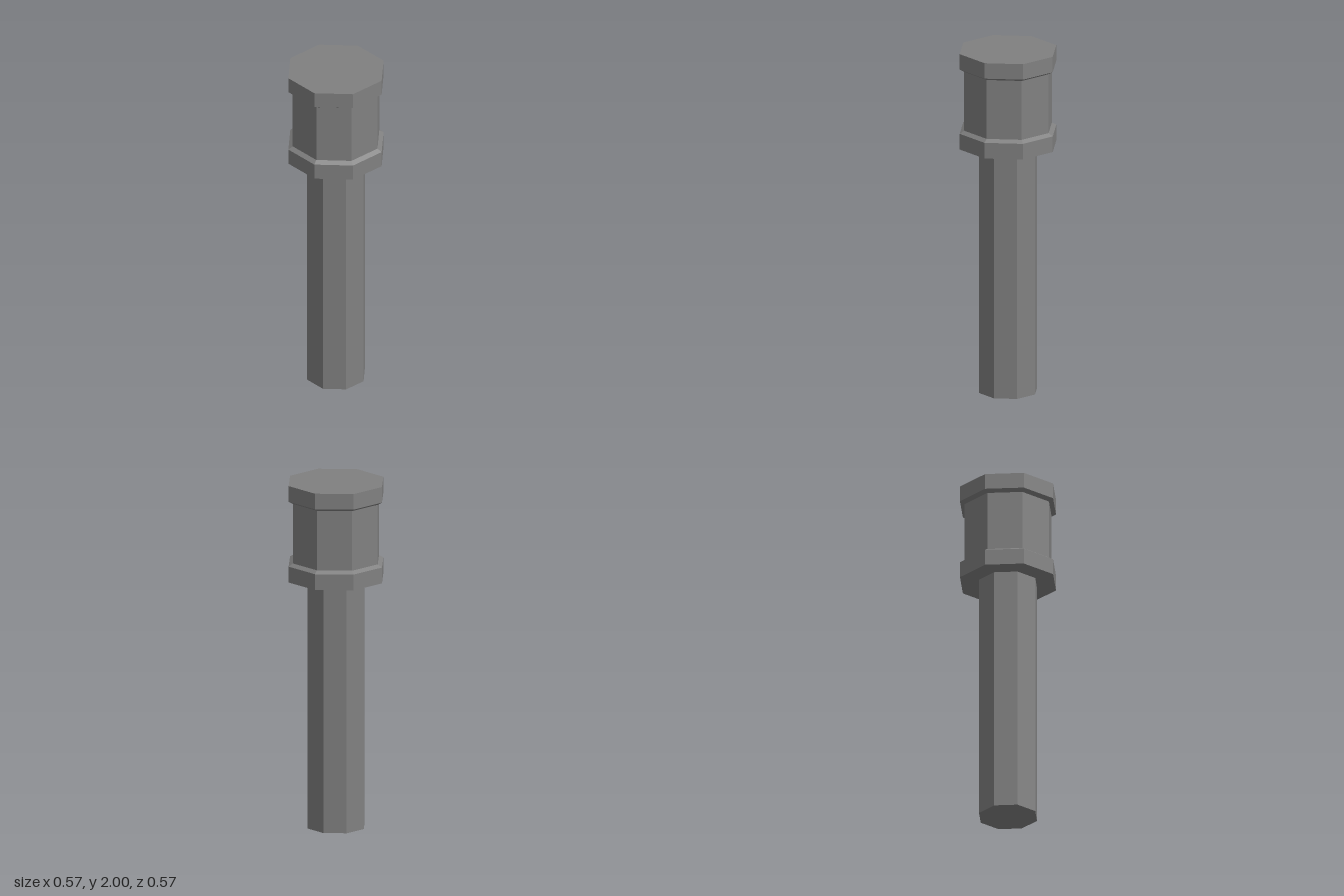
import * as THREE from 'three';

const SIDES = 8;

export function createModel() {
  const model = new THREE.Group();
  model.name = 'mallet';

  const gray = new THREE.MeshStandardMaterial({ color: 0x808080, flatShading: true });
  gray.name = 'gray';

  // Turn an octagonal part from a radius/height profile, bottom to top
  const addTurned = (name, profile) => {
    const points = profile.map(([r, y]) => new THREE.Vector2(r, y));
    const mesh = new THREE.Mesh(new THREE.LatheGeometry(points, SIDES), gray);
    mesh.name = name;
    model.add(mesh);
  };

  // Long handle, closed at the foot
  addTurned('handle', [[0, 0], [0.171, 0], [0.171, 1.44]]);

  // Lower collar with a bevelled shoulder
  addTurned('lowerCollar', [[0, 1.44], [0.283, 1.44], [0.283, 1.532], [0.257, 1.548]]);

  // Drum between the collars
  addTurned('drum', [[0.257, 1.548], [0.257, 1.894]]);

  // Cap with a bevelled underside and flat top
  addTurned('cap', [[0.257, 1.894], [0.283, 1.909], [0.283, 2], [0, 2]]);

  return model;
}
